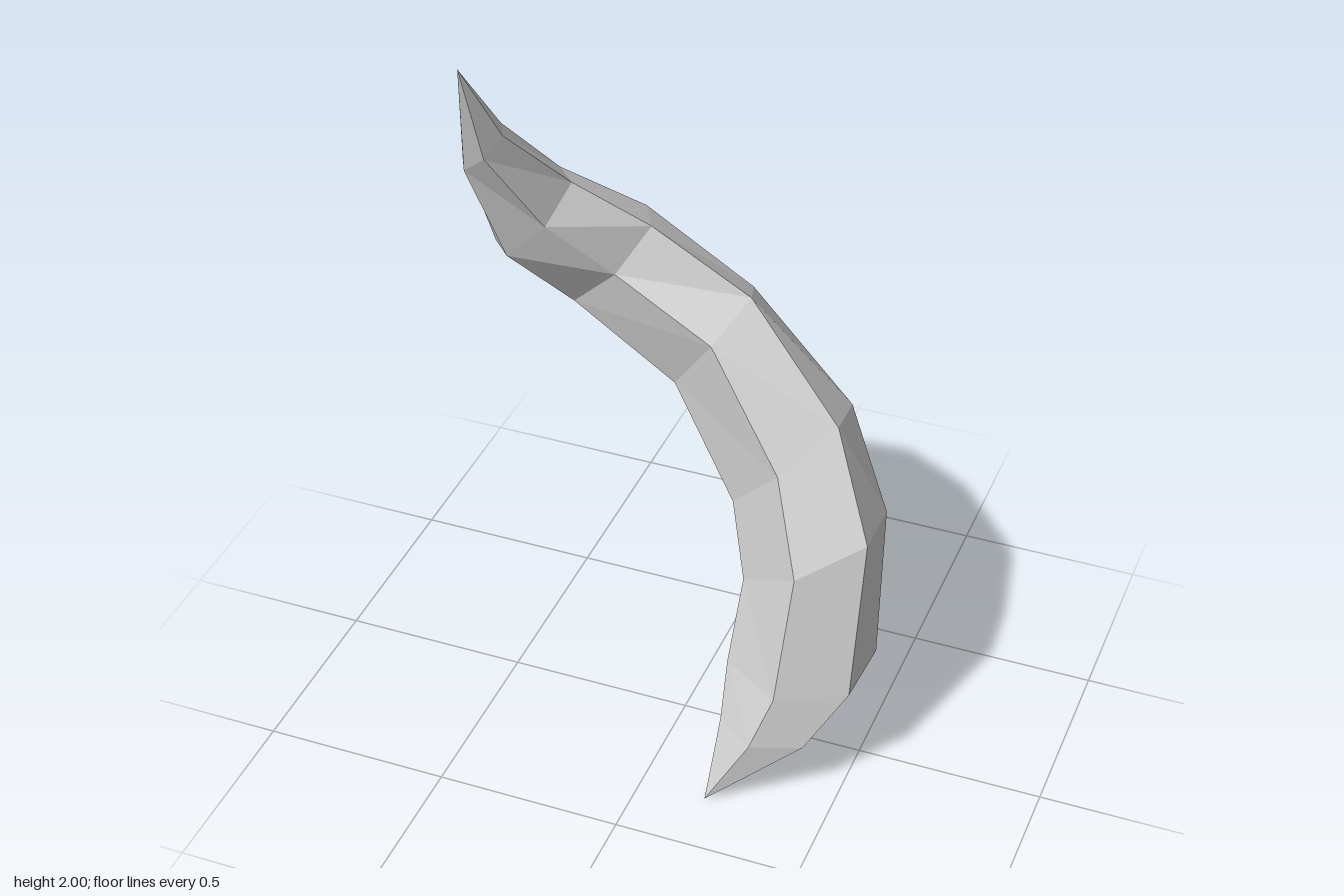
import * as THREE from 'three';

const v = (x, y, z) => new THREE.Vector3(x, y, z);

// Hexagonal sections from lower tip to upper tip: [centre, corner a, corner b],
// corners given relative to the centre; the rest follow by symmetry.
const sections = [
  [v(0.18, 0, 0.325), v(0, 0, 0), v(0, 0, 0)],
  [v(0.31, 0.18, 0.155), v(0.105, -0.005, 0.075), v(-0.025, 0, 0.13)],
  [v(0.345, 0.32, 0.045), v(0.165, 0, 0.105), v(-0.01, 0, 0.195)],
  [v(0.343, 0.625, -0.04), v(0.167, 0.105, 0.085), v(0.007, 0.02, 0.182)],
  [v(0.25, 0.845, -0.115), v(0.14, 0.155, 0.058), v(0.015, 0.035, 0.157)],
  [v(0.008, 1.11, -0.182), v(0.122, 0.18, 0.062), v(0.047, 0.067, 0.147)],
  [v(-0.262, 1.315, -0.148), v(0.13, 0.133, 0.04), v(0.055, 0.01, 0.103)],
  [v(-0.407, 1.488, -0.007), v(0.096, 0.092, -0.022), v(0.058, 0.003, 0.063)],
  [v(-0.475, 1.73, 0.125), v(0.06, 0.05, 0.012), v(0.025, -0.004, 0.048)],
  [v(-0.475, 2, 0.24), v(0, 0, 0), v(0, 0, 0)],
];

function hexRing([centre, a, b]) {
  const c = b.clone().sub(a);
  const half = [a, b, c];
  return [...half, ...half.map((p) => p.clone().negate())].map((p) => p.add(centre));
}

// Skin neighbouring rings; rings that shrink to a tip get a single triangle per side
function loft(rings) {
  const points = [];
  for (let i = 0; i < rings.length - 1; i++) {
    const low = rings[i], up = rings[i + 1];
    for (let j = 0; j < 6; j++) {
      const k = (j + 1) % 6;
      if (i < rings.length - 2) points.push(low[j], up[j], up[k]);
      if (i > 0) points.push(low[j], up[k], low[k]);
    }
  }
  const geometry = new THREE.BufferGeometry().setFromPoints(points);
  geometry.computeVertexNormals();
  return geometry;
}

export function createModel() {
  const group = new THREE.Group();
  group.name = 'curvedHorn';

  // Twisting faceted body, pointed at both ends
  const material = new THREE.MeshStandardMaterial({ color: 0xcccccc, flatShading: true });
  const horn = new THREE.Mesh(loft(sections.map(hexRing)), material);
  horn.name = 'hornBody';
  group.add(horn);
  return group;
}
